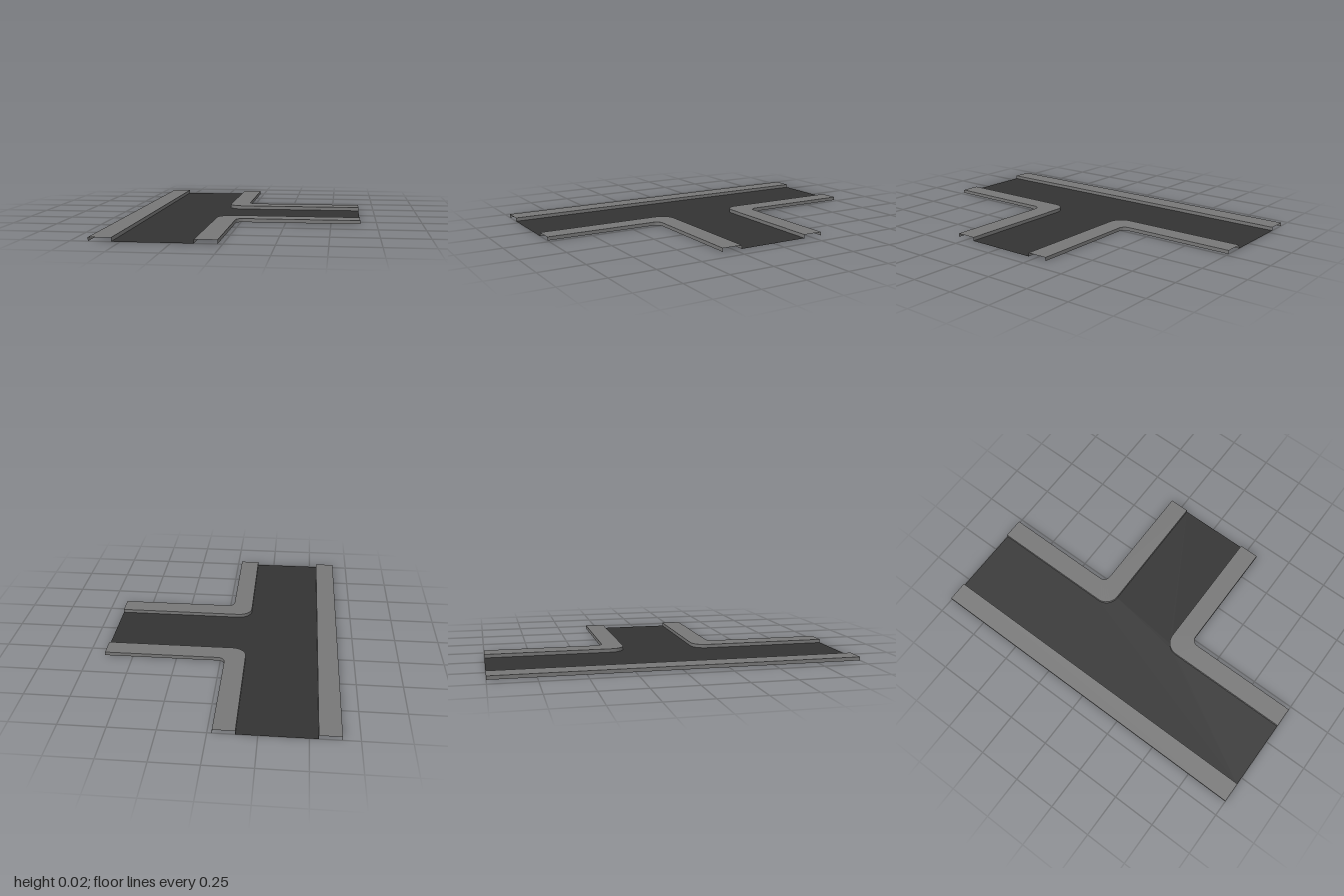
import * as THREE from 'three';
import { toCreasedNormals } from 'three/addons/utils/BufferGeometryUtils.js';

const HEIGHT = 0.02;
const END_X = 0.66, END_Z = 1;
const ROAD_LEFT = -0.545;
const STEPS = 8;

const curbMaterial = new THREE.MeshStandardMaterial({ color: 0x777777, side: THREE.DoubleSide });
const roadMaterial = new THREE.MeshStandardMaterial({ color: 0x333333, side: THREE.DoubleSide });

// Path [x, z] from the main road's end, round a filleted corner, to the branch's end
function cornerPath(x, z, radius) {
  const points = [[x, END_Z]];
  for (let i = 0; i <= STEPS; i++) {
    const a = (i / STEPS) * Math.PI / 2;
    points.push([x + radius * (1 - Math.cos(a)), z + radius * (1 - Math.sin(a))]);
  }
  points.push([END_X, z]);
  return points;
}

const mirrorZ = (path) => path.map(([x, z]) => [x, -z]).reverse();

// Open channel between two paths: inner wall, top, outer wall
function curb(name, inner, outer) {
  const positions = [];
  const sections = inner.map(([xi, zi], i) => {
    const [xo, zo] = outer[i];
    return [[xi, 0, zi], [xi, HEIGHT, zi], [xo, HEIGHT, zo], [xo, 0, zo]];
  });
  for (let i = 0; i < sections.length - 1; i++) {
    for (let j = 0; j < 3; j++) {
      const a = sections[i][j], b = sections[i][j + 1];
      const c = sections[i + 1][j + 1], d = sections[i + 1][j];
      positions.push(...a, ...b, ...c, ...a, ...c, ...d);
    }
  }
  const geometry = new THREE.BufferGeometry();
  geometry.setAttribute('position', new THREE.Float32BufferAttribute(positions, 3));
  const mesh = new THREE.Mesh(toCreasedNormals(geometry, Math.PI / 6), curbMaterial);
  mesh.name = name;
  return mesh;
}

export function createModel() {
  const model = new THREE.Group();
  model.name = 'roadJunction';

  const inner = cornerPath(-0.14, 0.205, 0.08);
  const outer = cornerPath(-0.025, 0.32, 0.04);

  // Flat T-shaped roadway
  const outline = [[ROAD_LEFT, END_Z], ...inner, ...mirrorZ(inner), [ROAD_LEFT, -END_Z]];
  const shape = new THREE.Shape(outline.map(([x, z]) => new THREE.Vector2(x, -z)));
  const road = new THREE.Mesh(new THREE.ShapeGeometry(shape).rotateX(-Math.PI / 2), roadMaterial);
  road.name = 'roadSurface';
  model.add(road);

  // Straight pavement and the two corner pavements
  model.add(
    curb('straightPavement', [[ROAD_LEFT, -END_Z], [ROAD_LEFT, END_Z]], [[-END_X, -END_Z], [-END_X, END_Z]]),
    curb('frontCornerPavement', inner, outer),
    curb('backCornerPavement', mirrorZ(inner), mirrorZ(outer)),
  );
  return model;
}
